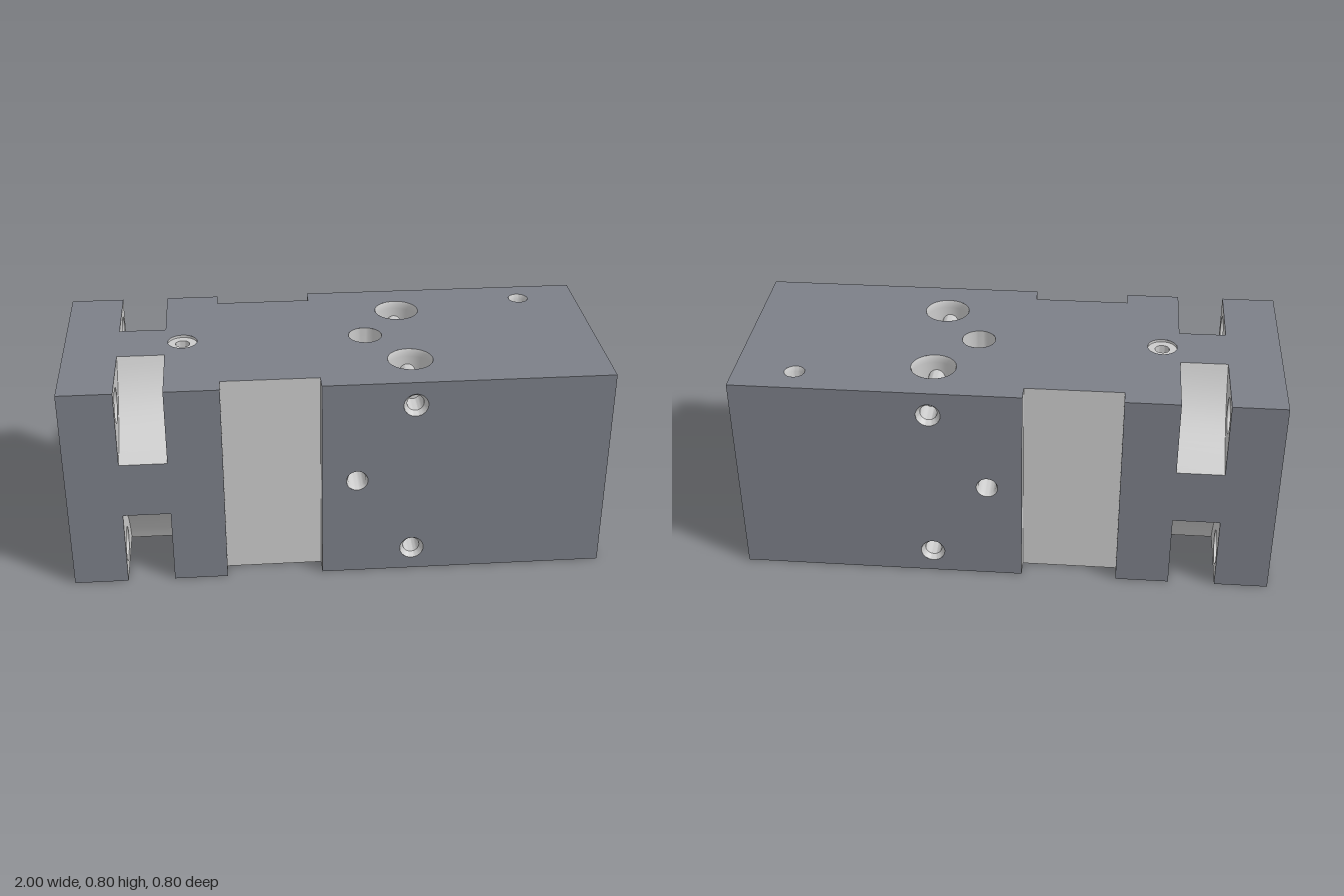
import * as THREE from 'three';
import { toCreasedNormals } from 'three/addons/utils/BufferGeometryUtils.js';

const H = 0.4;                      // half height and half depth of the block
const N0 = -0.8, N1 = -0.625;       // bolt pockets along x
const R0 = -0.425, R1 = -0.065;     // side recesses along x
const RZ = 0.335;                   // recess floor
const NC = 0.108, NQ = 0.186;       // pocket curve end and control point
const BORE = 0.166;

const bodyMat = new THREE.MeshStandardMaterial({ color: 0x7c7f88, side: THREE.DoubleSide });
const cutMat = new THREE.MeshStandardMaterial({ color: 0xcccccc, side: THREE.DoubleSide });

// Flat outline with round holes given as [x, y, radius]
function plate(points, holes = []) {
  const shape = new THREE.Shape(points.map(([x, y]) => new THREE.Vector2(x, y)));
  for (const [x, y, r] of holes) shape.holes.push(new THREE.Path().absarc(x, y, r, 0, Math.PI * 2, true));
  return new THREE.ShapeGeometry(shape, 32);
}

const rect = (x0, x1, y0, y1) => [[x0, y0], [x1, y0], [x1, y1], [x0, y1]];
// Closed outline from its upper half, mirrored in y
const mirrored = (half) => [...half, ...half.map(([x, y]) => [x, -y]).reverse()];

// Keep only the triangles whose centre passes the test
function keep(geometry, test) {
  const p = geometry.attributes.position, n = geometry.attributes.normal;
  const pos = [], nor = [], c = new THREE.Vector3(), v = new THREE.Vector3();
  for (let i = 0; i < p.count; i += 3) {
    c.set(0, 0, 0);
    for (let k = 0; k < 3; k++) c.add(v.fromBufferAttribute(p, i + k));
    if (!test(c.divideScalar(3))) continue;
    for (let k = i; k < i + 3; k++) {
      pos.push(p.getX(k), p.getY(k), p.getZ(k));
      nor.push(n.getX(k), n.getY(k), n.getZ(k));
    }
  }
  const out = new THREE.BufferGeometry();
  out.setAttribute('position', new THREE.Float32BufferAttribute(pos, 3));
  out.setAttribute('normal', new THREE.Float32BufferAttribute(nor, 3));
  return out;
}

// Turned surface from [radius, height] pairs, with sharp edges kept
function turned(profile, segments = 40) {
  const g = new THREE.LatheGeometry(profile.map(([r, y]) => new THREE.Vector2(r, y)), segments);
  return toCreasedNormals(g, 0.5);
}

export function createModel() {
  const model = new THREE.Group();
  const block = new THREE.Group();
  block.name = 'manifoldBlock';
  block.position.y = H;             // everything below is centred on the bore axis
  model.add(block);

  const add = (name, geometry, material) => {
    const mesh = new THREE.Mesh(geometry, material);
    mesh.name = name;
    block.add(mesh);
    return mesh;
  };

  // Front and back faces: flange end with pockets, and the main body
  const flange = mirrored([[-1, H], [N0, H], [N0, NC], [N1, NC], [N1, H], [R0, H]]);
  const sideHoles = [[0.275, 0.308, 0.045], [0.275, -0.308, 0.045], [0.065, 0, 0.04]];
  for (const s of [1, -1]) {
    const name = s > 0 ? 'front' : 'back';
    add(name + 'FlangeFace', plate(flange).translate(0, 0, s * H), bodyMat);
    add(name + 'BodyFace', plate(rect(R1, 1, -H, H), sideHoles).translate(0, 0, s * H), bodyMat);
    // Side recess floor and its two walls
    add(name + 'RecessFloor', plate(rect(R0, R1, -H, H)).translate(0, 0, s * RZ), cutMat);
    for (const x of [R0, R1])
      add(name + 'RecessWall', plate(rect(RZ, H, -H, H)).rotateY(-s * Math.PI / 2).translate(x, 0, 0), cutMat);
  }

  // Top and bottom faces, outlined in x and z
  const deck = mirrored([[-1, H], [N0, H], [N0, NC], [N1, NC], [N1, H], [R0, H],
    [R0, RZ], [R1, RZ], [R1, H], [1, H]]);
  const shared = [[0.275, 0.213, 0.084], [0.275, -0.213, 0.084], [0.775, -0.288, 0.038]];
  const topOnly = [[-0.56, 0, 0.055], [0.13, 0, 0.063]];
  add('topFace', plate(deck, [...shared, ...topOnly]).rotateX(Math.PI / 2).translate(0, H, 0), bodyMat);
  add('bottomFace', plate(deck, shared).rotateX(Math.PI / 2).translate(0, -H, 0), bodyMat);

  // End faces, outlined in z and y
  const square = rect(-H, H, -H, H);
  const bolts = [[0.3, 0.3], [-0.3, 0.3], [0.3, -0.3], [-0.3, -0.3]];
  const flangeHoles = [[0, 0, 0.286], [0.15, 0.33, 0.028], ...bolts.map(([z, y]) => [z, y, 0.065])];
  add('rightEndFace', plate(square, flangeHoles).rotateY(-Math.PI / 2).translate(-1, 0, 0), bodyMat);
  add('leftEndFace', plate(square, [[0, 0, 0.275]]).rotateY(-Math.PI / 2).translate(1, 0, 0), bodyMat);

  // Four curved corner pockets with bolt clearance holes
  const curve = new THREE.QuadraticBezierCurve(new THREE.Vector2(H, NC),
    new THREE.Vector2(NQ, NQ), new THREE.Vector2(NC, H));
  const arc = curve.getPoints(16);
  for (const [bz, by] of bolts) {
    const sz = Math.sign(bz), sy = Math.sign(by);
    const outline = [[sz * H, sy * H], ...arc.map((p) => [sz * p.x, sy * p.y])];
    for (const x of [N0, N1])
      add('pocketWall', plate(outline, x === N0 ? [[bz, by, 0.065]] : [])
        .rotateY(-Math.PI / 2).translate(x, 0, 0), cutMat);
    const floor = new THREE.PlaneGeometry(1, 1, 1, 16);
    const p = floor.attributes.position;
    for (let i = 0; i < p.count; i++) {
      const q = arc[Math.round((p.getY(i) + 0.5) * 16)];
      p.setXYZ(i, p.getX(i) < 0 ? N0 : N1, sy * q.y, sz * q.x);
    }
    floor.computeVertexNormals();
    add('pocketFloor', floor, cutMat);
    add('boltHole', new THREE.CylinderGeometry(0.065, 0.065, N0 + 1, 40, 1, true)
      .rotateZ(Math.PI / 2).translate((N0 - 1) / 2, by, bz), cutMat);
  }

  // Stepped main bore along x, opened where the cross ports meet it
  const bore = [[0.286, -1], [0.286, 0], [BORE, 0]];
  for (let x = 0.18; x < 0.375; x += 0.01) bore.push([BORE, x]);
  bore.push([BORE, 0.42], [0.2, 0.45], [0.2, 0.955], [0.203, 0.968], [0.212, 0.975],
    [0.262, 0.975], [0.265, 0.985], [0.27, 0.985], [0.275, 1]);
  add('mainBore', keep(turned(bore, 128).rotateZ(-Math.PI / 2), (c) =>
    c.x < 0.1 || Math.hypot(c.x - 0.275, Math.abs(c.z) - 0.213) > 0.08), cutMat);

  // Vertical cross ports passing through the bore
  for (const z of [0.213, -0.213]) {
    const profile = [[0.084, -H], [0.08, -H + 0.01]];
    for (let i = 1; i < 40; i++) profile.push([0.08, -0.39 + i * 0.0195]);
    profile.push([0.08, H - 0.01], [0.084, H]);
    add('crossPort', keep(turned(profile, 48).translate(0.275, 0, z),
      (c) => Math.hypot(c.y, c.z) > BORE), cutMat);
  }

  // Countersunk pin holes running front to back
  for (const y of [0.308, -0.308])
    add('pinHole', turned([[0.045, -H], [0.031, -H + 0.02], [0.031, H - 0.02], [0.045, H]])
      .rotateX(Math.PI / 2).translate(0.275, y, 0), cutMat);

  // Blind holes: profile heights are measured from the face
  const blind = (r, depth) => [[r, 0], [r - 0.007, -0.015], [r - 0.007, -depth], [0, -depth - 0.01]];
  const plug = (r, inner, depth) => [[r, 0], [r, -depth], [inner, -depth], [inner, -depth - 0.1], [0, -depth - 0.1]];
  for (const s of [1, -1]) {
    add('sidePort', turned(blind(0.04, 0.15)).rotateX(s * Math.PI / 2).translate(0.065, 0, s * H), cutMat);
    add('dowelHole', turned(blind(0.038, 0.12)).rotateX(s > 0 ? 0 : Math.PI)
      .translate(0.775, s * H, -0.288), cutMat);
  }
  add('flangePlugSeat', turned(plug(0.055, 0.027, 0.01)).translate(-0.56, H, 0), cutMat);
  add('bodyPlugSeat', turned(plug(0.063, 0.027, 0.08)).translate(0.13, H, 0), cutMat);
  add('locatingHole', turned(blind(0.028, 0.12)).rotateZ(Math.PI / 2).translate(-1, 0.33, 0.15), cutMat);

  return model;
}
